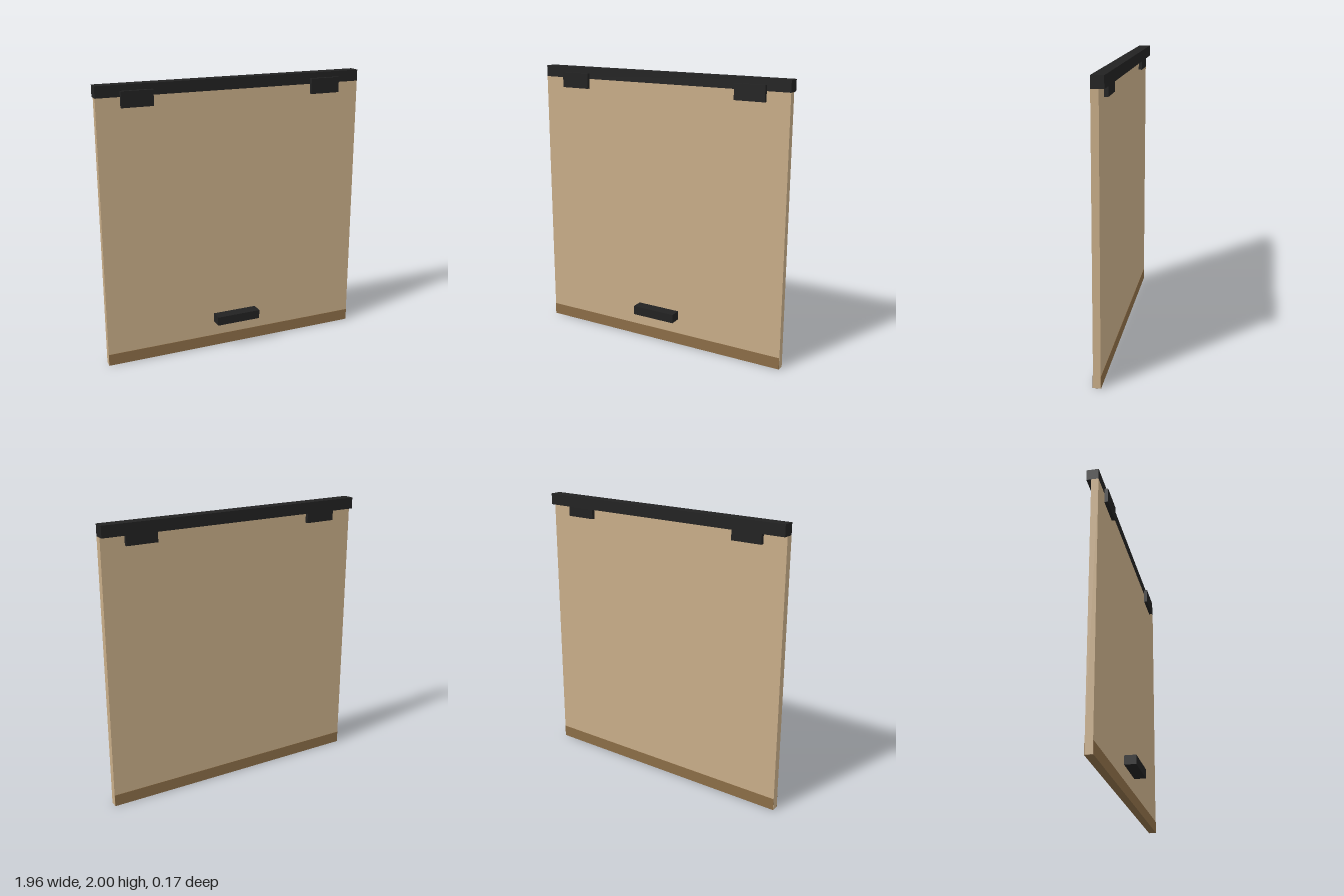
import * as THREE from 'three';

const material = (color) => new THREE.MeshStandardMaterial({ color });

// Box given by its lower and upper limits on each axis
function box(name, mat, [x0, x1], [y0, y1], [z0, z1]) {
  const mesh = new THREE.Mesh(new THREE.BoxGeometry(x1 - x0, y1 - y0, z1 - z0), mat);
  mesh.name = name;
  mesh.position.set((x0 + x1) / 2, (y0 + y1) / 2, (z0 + z1) / 2);
  return mesh;
}

export function createModel() {
  const group = new THREE.Group();
  group.name = 'slidingDoor';
  const wood = material(0xc8ad88);
  const darkWood = material(0x8b6d47);
  const metal = material(0x222222);
  const W = 0.978;

  // Door leaf
  group.add(box('panel', wood, [-W, W], [0.002, 1.92], [-0.05, 0]));

  // Kick strip wrapping the foot, the panel ends stay exposed
  group.add(box('bottomTrim', darkWood, [-W + 0.001, W - 0.001], [0, 0.085], [-0.052, 0.003]));

  // Overhead rail
  group.add(box('topRail', metal, [-W, W], [1.92, 2], [-0.083, 0]));

  // Hanger brackets clasping the top of the panel
  for (const [side, x] of [['right', -0.7], ['left', 0.7]]) {
    group.add(box(side + 'Bracket', metal, [x - 0.111, x + 0.111], [1.85, 1.96], [-0.075, 0.025]));
  }

  // Pull handle
  group.add(box('handle', metal, [-0.167, 0.167], [0.195, 0.26], [0, 0.083]));
  return group;
}
